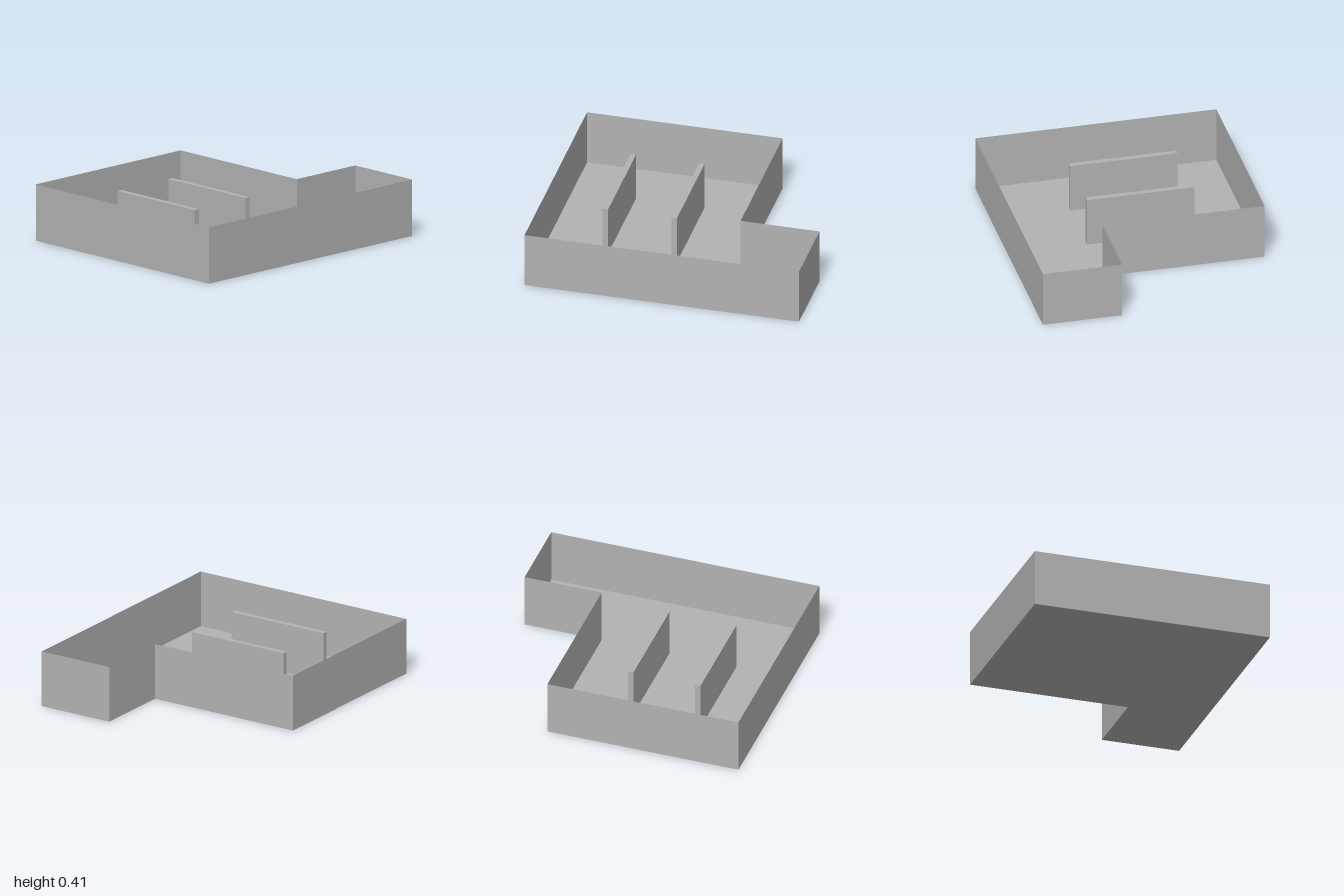
import * as THREE from 'three';

const HEIGHT = 0.41;

// Plan of the room as [x, z], running around the outside
const PLAN = [
  [-0.875, 1], [0.875, 1], [0.875, -1],
  [0.3, -1], [0.3, -0.425], [-0.875, -0.425],
];

export function createModel() {
  const model = new THREE.Group();
  model.name = 'openRoom';

  const plaster = new THREE.MeshStandardMaterial({ color: 0xb2b2b2, side: THREE.DoubleSide });
  plaster.name = 'grey plaster';

  const add = (name, geometry, x, y, z) => {
    const mesh = new THREE.Mesh(geometry, plaster);
    mesh.name = name;
    mesh.position.set(x, y, z);
    model.add(mesh);
    return mesh;
  };

  // L-shaped floor sheet
  const outline = new THREE.Shape(PLAN.map(([x, z]) => new THREE.Vector2(x, -z)));
  add('floor', new THREE.ShapeGeometry(outline).rotateX(-Math.PI / 2), 0, 0, 0);

  // Thin outer walls, one per edge of the plan
  const names = ['frontWall', 'leftWall', 'alcoveBackWall', 'alcoveSideWall', 'backWall', 'rightWall'];
  PLAN.forEach(([x0, z0], i) => {
    const [x1, z1] = PLAN[(i + 1) % PLAN.length];
    const length = Math.hypot(x1 - x0, z1 - z0);
    const wall = add(names[i], new THREE.PlaneGeometry(length, HEIGHT),
      (x0 + x1) / 2, HEIGHT / 2, (z0 + z1) / 2);
    wall.rotation.y = Math.atan2(z0 - z1, x1 - x0);
  });

  // Two free-standing partitions
  const partition = new THREE.BoxGeometry(0.78, 0.36, 0.04);
  add('frontPartition', partition, -0.09, 0.18, 0.56);
  add('backPartition', partition, -0.09, 0.18, 0.06);

  return model;
}
